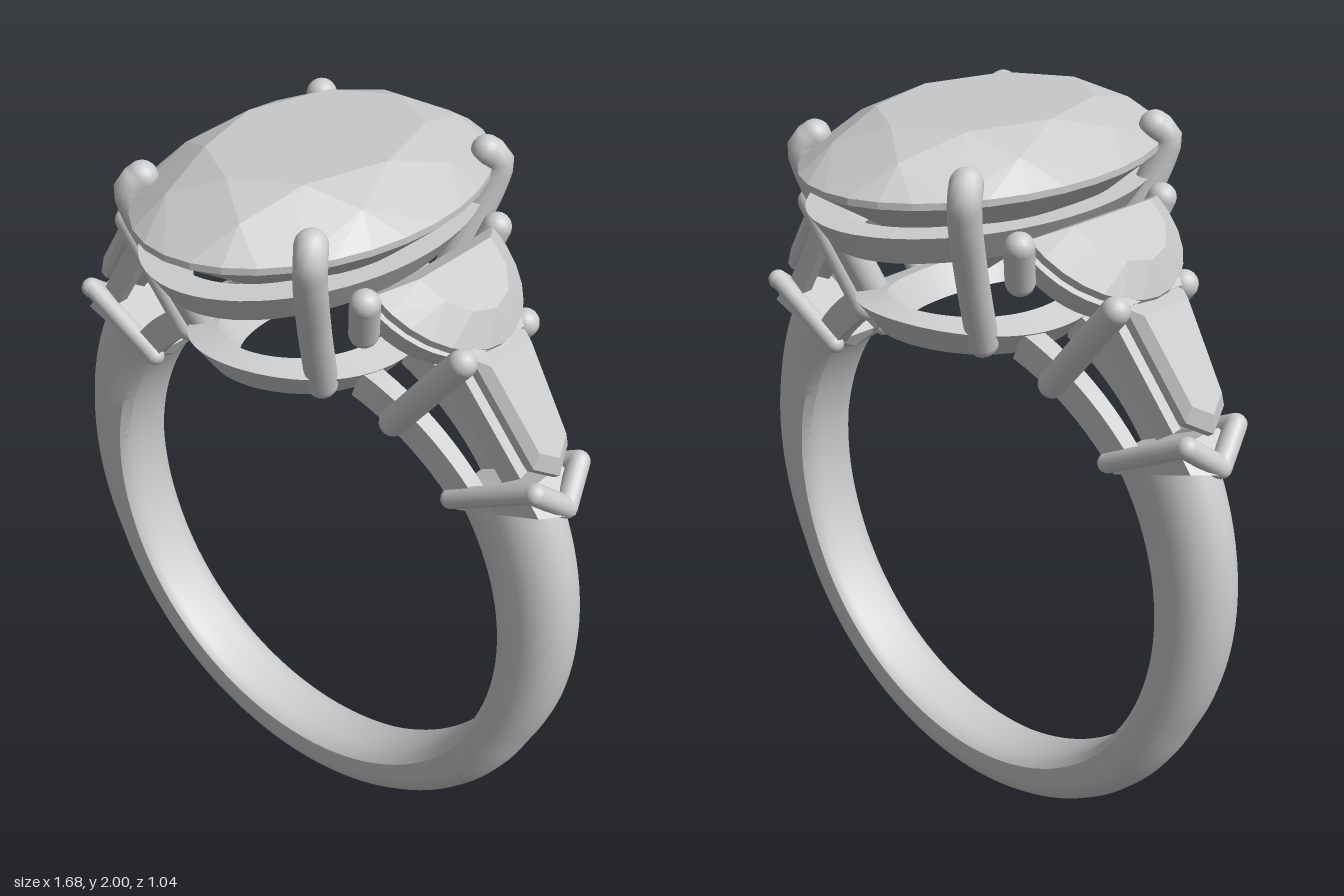
import * as THREE from 'three';
import { toCreasedNormals } from 'three/addons/utils/BufferGeometryUtils.js';
import { ConvexGeometry } from 'three/addons/geometries/ConvexGeometry.js';

const V = (x, y, z) => new THREE.Vector3(x, y, z);
const TAU = Math.PI * 2, DEG = Math.PI / 180;

// Skin a row of equal cross-sections; closed joins last to first, otherwise the ends are capped.
function loft(sections, closed, crease = 0.6) {
  const n = sections[0].length, m = sections.length, index = [];
  const points = sections.flat();
  for (let i = 0; i < (closed ? m : m - 1); i++) {
    for (let j = 0; j < n; j++) {
      const a = i * n + j, b = i * n + (j + 1) % n, k = ((i + 1) % m) * n;
      const c = k + (j + 1) % n, d = k + j;
      index.push(a, b, c, a, c, d);
    }
  }
  if (!closed) {
    const e = (m - 1) * n;
    for (let j = 1; j < n - 1; j++) index.push(0, j + 1, j, e, e + j, e + j + 1);
  }
  // Turn the faces outward
  let volume = 0;
  for (let i = 0; i < index.length; i += 3) {
    volume += points[index[i]].dot(points[index[i + 1]].clone().cross(points[index[i + 2]]));
  }
  if (volume < 0) index.reverse();
  const g = new THREE.BufferGeometry().setFromPoints(points);
  g.setIndex(index);
  return toCreasedNormals(g, crease);
}

export function createModel() {
  const metal = new THREE.MeshStandardMaterial({ color: 0xcccccc });
  metal.name = 'metal';
  const gem = new THREE.MeshStandardMaterial({ color: 0xc8c8c8 });
  gem.name = 'gem';
  const model = new THREE.Group();
  model.name = 'ring';

  const add = (parent, name, geometry, material = metal) => {
    const mesh = new THREE.Mesh(geometry, material);
    mesh.name = name;
    parent.add(mesh);
    return mesh;
  };
  // Round wire with ball ends
  const wire = (parent, name, points, r) => {
    const g = new THREE.Group();
    g.name = name;
    const path = points.length > 2 ? new THREE.CatmullRomCurve3(points) : new THREE.LineCurve3(...points);
    add(g, 'rod', new THREE.TubeGeometry(path, points.length > 2 ? 24 : 1, r, 16));
    for (const p of [points[0], points[points.length - 1]]) {
      add(g, 'tip', new THREE.SphereGeometry(r, 16, 12)).position.copy(p);
    }
    parent.add(g);
  };

  // Shank: flat inside, domed outside, thickening toward the shoulders
  const profile = [[0.02, -0.07], [0, -0.04], [0, 0.04], [0.02, 0.07], [0.14, 0.09]];
  for (let i = 0; i <= 10; i++) {
    const a = i / 10 * Math.PI;
    profile.push([0.5 + 0.5 * Math.sin(a), 0.09 * Math.cos(a)]);
  }
  profile.push([0.14, -0.09]);
  const shank = [];
  for (let i = 0; i <= 96; i++) {
    const s = i / 48 - 1;
    const thick = 0.14 + 0.085 * Math.max(0, Math.abs(s) - 0.55) / 0.45;
    shank.push(profile.map(([u, z]) => {
      const t = s * (130 - 8 * u) * DEG, r = 0.66 + u * thick;
      return V(Math.sin(t) * r, 0.805 - Math.cos(t) * r, z);
    }));
  }
  add(model, 'shank', loft(shank, true === false, 0.7));

  // Oval gallery rails; the lower one is bent over the finger hole
  const oval = (a, b, section, height) => {
    const loops = [];
    for (let i = 0; i < 64; i++) {
      const t = i / 64 * TAU;
      loops.push(section.map(([off, h]) => {
        const x = (a + off) * Math.cos(t);
        return V(x, height(x, h), (b + off) * Math.sin(t));
      }));
    }
    return loft(loops, true);
  };
  add(model, 'upperRail', oval(0.34, 0.51,
    [[0, 1.8], [-0.08, 1.8], [-0.13, 1.72], [-0.055, 1.72]], (x, h) => h));
  add(model, 'lowerRail', oval(0.28, 0.37,
    [[0, 0.745], [-0.08, 0.745], [-0.13, 0.66], [-0.06, 0.66]],
    (x, r) => 0.8 + Math.sqrt(r * r - x * x)));

  // Oval centre stone
  const ring = (n, scale, y, shift = 0) => Array.from({ length: n }, (_, i) => {
    const t = (i + shift) / n * TAU;
    return V(0.365 * scale * Math.cos(t), y, 0.522 * scale * Math.sin(t));
  });
  add(model, 'centreStone', new ConvexGeometry([
    ...ring(8, 0.6, 2), ...ring(8, 0.82, 1.955, 0.5), ...ring(32, 1, 1.89), ...ring(32, 1, 1.873),
    ...ring(8, 0.55, 1.72, 0.5), V(0, 1.56, 0),
  ]), gem);

  // Four claws holding the centre stone
  for (const sx of [1, -1]) for (const sz of [1, -1]) {
    wire(model, 'centreClaw', [[0.19, 1.48, 0.2], [0.235, 1.68, 0.28], [0.275, 1.84, 0.34],
      [0.283, 1.9, 0.348], [0.265, 1.925, 0.325]].map(([x, y, z]) => V(x * sx, y, z * sz)), 0.04);
  }

  for (const turn of [0, Math.PI]) {
    const side = new THREE.Group();
    side.name = turn ? 'rightShoulder' : 'leftShoulder';
    side.rotation.y = turn;
    model.add(side);

    // Half-moon stone in a curved band
    const moon = new THREE.Group();
    moon.name = 'halfMoonSetting';
    moon.position.set(0.36, 1.785, 0);
    moon.rotation.z = -35 * DEG;
    side.add(moon);
    const arc = (n, scale, y) => Array.from({ length: n + 1 }, (_, i) => {
      const t = i / n * Math.PI;
      return V(0.08 + (0.25 * Math.sin(t) - 0.08) * scale, y, 0.225 * scale * Math.cos(t));
    });
    add(moon, 'halfMoonStone', new ConvexGeometry([
      ...arc(6, 0.6, 0.065), ...arc(14, 1, 0.01), ...arc(14, 1, -0.01), V(0.07, -0.15, 0.05), V(0.07, -0.15, -0.05),
    ]), gem);
    const rims = [arc(20, 0.98, -0.03), arc(20, 0.72, -0.03), arc(20, 0.62, -0.1), arc(20, 0.85, -0.1)];
    add(moon, 'halfMoonBand', loft(rims[0].map((_, i) => rims.map((r) => r[i])), false));

    // Tapered stone with a pointed end, its rails and a divider bar
    const taper = new THREE.Group();
    taper.name = 'taperedSetting';
    taper.position.set(0.555, 1.645, 0);
    taper.rotation.z = -55 * DEG;
    side.add(taper);
    const outline = (s, y) => [[0, 0.1], [0.3, 0.07], [0.35, 0], [0.3, -0.07], [0, -0.1]]
      .map(([x, z]) => V(0.16 + (x - 0.16) * s, y, z * s));
    add(taper, 'taperedStone', new ConvexGeometry([
      ...outline(0.78, 0.025), ...outline(1, 0), ...outline(1, -0.02), V(0.06, -0.12, 0), V(0.28, -0.1, 0),
    ]), gem);
    add(taper, 'dividerBar', new THREE.BoxGeometry(0.02, 0.06, 0.22)).position.set(-0.01, -0.02, 0);
    for (const sz of [1, -1]) {
      const rail = add(taper, 'taperedRail', new THREE.BoxGeometry(0.31, 0.06, 0.03));
      rail.position.set(0.155, -0.07, 0.083 * sz);
      rail.rotation.y = 0.1 * sz;
    }

    // Solid V-shaped end seat
    const seat = [V(0.81, 1.27, 0), V(0.53, 1.185, 0)];
    for (const sz of [1, -1]) {
      const z = 0.09 * sz;
      seat.push(V(0.72, 1.34, z), V(0.765, 1.285, z), V(0.5, 1.235, z), V(0.53, 1.2, z));
      wire(side, 'endSeatEdge', [V(0.745, 1.35, z), V(0.51, 1.225, z)], 0.026);
      wire(side, 'endSeatPoint', [V(0.75, 1.35, z), V(0.782, 1.28, 0)], 0.028);

      // Prongs between the stones
      wire(side, 'innerProng', [V(0.36, 1.78, 0.25 * sz), V(0.33, 1.68, 0.215 * sz)], 0.037);
      wire(side, 'outerProng', [V(0.545, 1.64, 0.122 * sz), V(0.345, 1.39, 0.115 * sz)], 0.036);

      // Base rail following the finger hole
      const base = [];
      for (let i = 0; i <= 12; i++) {
        const t = (38 + i * 2.7) * DEG, zi = (0.045 + i * 0.002) * sz, zo = (0.09 + i * 0.003) * sz;
        base.push([[0.66, zi], [0.66, zo], [0.74, zo], [0.74, zi]]
          .map(([r, w]) => V(r * Math.cos(t), 0.8 + r * Math.sin(t), w)));
      }
      add(side, 'baseRail', loft(base, false));
    }
    add(side, 'endSeat', new ConvexGeometry(seat));
  }
  return model;
}
